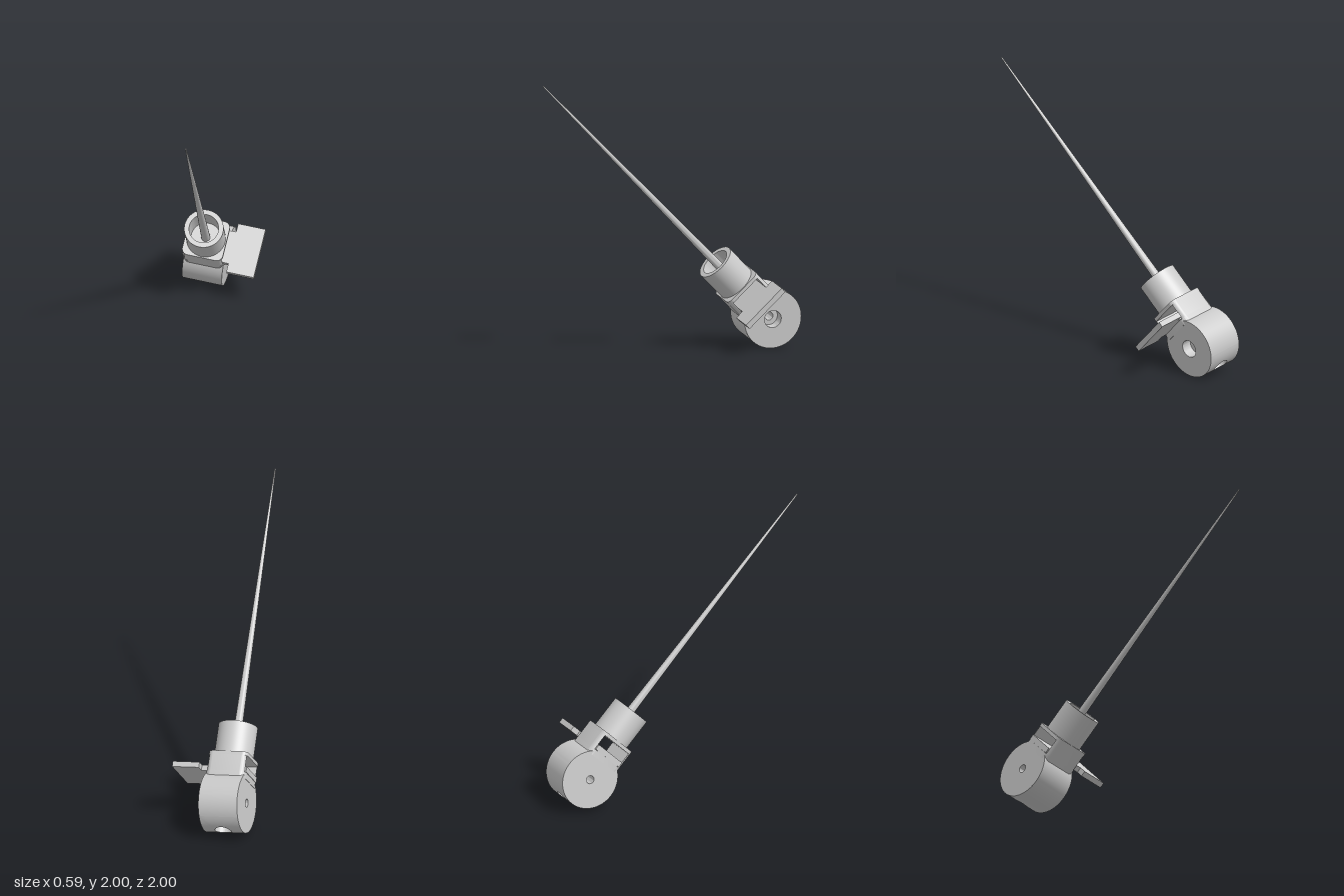
import * as THREE from 'three';
import { toCreasedNormals } from 'three/addons/utils/BufferGeometryUtils.js';

const material = new THREE.MeshStandardMaterial({ color: 0xcccccc, side: THREE.DoubleSide });
const R = 0.214;   // drum radius
const H = 0.145;   // half width of drum and block

function add(parent, name, geometry) {
  const mesh = new THREE.Mesh(toCreasedNormals(geometry, 0.6), material);
  mesh.name = name;
  parent.add(mesh);
  return mesh;
}

function lathe(points, segments = 64) {
  return new THREE.LatheGeometry(points.map(([r, y]) => new THREE.Vector2(r, y)), segments);
}

// Extrude a plan shape (x, z) along y from y0 to y1
function slab(shape, y0, y1) {
  const g = new THREE.ExtrudeGeometry(shape, { depth: y1 - y0, bevelEnabled: false, curveSegments: 8 });
  return g.rotateX(-Math.PI / 2).translate(0, y0, 0);
}

function roundedSquare(h, r) {
  const s = new THREE.Shape();
  s.absarc(h - r, h - r, r, 0, Math.PI / 2);
  s.absarc(r - h, h - r, r, Math.PI / 2, Math.PI);
  s.absarc(r - h, r - h, r, Math.PI, Math.PI * 1.5);
  s.absarc(h - r, r - h, r, Math.PI * 1.5, Math.PI * 2);
  return s;
}

// Curved rim patch with a round blind hole, facing -y
function rimPatch(holeR, floorY) {
  const n = 64, pos = [], index = [];
  const onRim = (x, z) => [x, -Math.sqrt(R * R - z * z), z];
  const rings = 8;
  for (let row = 0; row < rings + 3; row++) {
    for (let j = 0; j < n; j++) {
      const t = (j / n) * Math.PI * 2, c = Math.cos(t), s = Math.sin(t);
      if (row < 2) {
        pos.push(c * holeR * row, floorY, s * holeR * row);
      } else {
        const edge = H / Math.max(Math.abs(c), Math.abs(s));
        const r = THREE.MathUtils.lerp(holeR, edge, (row - 2) / rings);
        pos.push(...onRim(c * r, s * r));
      }
      if (row > 0) {
        const k = (j + 1) % n, p = (row - 1) * n, q = row * n;
        index.push(p + j, q + j, p + k, p + k, q + j, q + k);
      }
    }
  }
  const g = new THREE.BufferGeometry();
  g.setAttribute('position', new THREE.Float32BufferAttribute(pos, 3));
  g.setIndex(index);
  g.computeVertexNormals();
  return g;
}

export function createModel() {
  const model = new THREE.Group();
  model.name = 'gateValveWithNeedle';
  // Local frame: x along the drum axle, y along the needle
  const body = new THREE.Group();
  body.name = 'tiltedBody';
  model.add(body);
  const y = new THREE.Vector3(0.048, 0.704, 0.708).normalize();
  const x = new THREE.Vector3(0.991, -0.12, 0.052);
  x.addScaledVector(y, -x.dot(y)).normalize();
  const z = new THREE.Vector3().crossVectors(x, y);
  body.quaternion.setFromRotationMatrix(new THREE.Matrix4().makeBasis(x, y, z));
  body.position.set(-0.124, 0.2325, -0.783);

  // Drum: faces with stepped axle bore, rim, and the drilled rim patch
  const drum = new THREE.Group();
  drum.name = 'drum';
  body.add(drum);
  add(drum, 'drumFacesAndBore', lathe([
    [R, H], [0.063, H], [0.063, H - 0.08], [0.03, H - 0.08], [0.03, -H], [R, -H],
  ], 96).rotateZ(-Math.PI / 2));
  const phi = Math.asin(H / R);
  add(drum, 'drumRim', new THREE.CylinderGeometry(R, R, 2 * H, 72, 1, true,
    Math.PI / 2 + phi, 2 * (Math.PI - phi)).rotateZ(-Math.PI / 2));
  add(drum, 'drilledRim', rimPatch(0.06, -0.075));

  // Slotted block: base, two side walls, top
  const block = new THREE.Group();
  block.name = 'slottedBlock';
  body.add(block);
  const plan = roundedSquare(0.148, 0.045);
  add(block, 'blockBase', slab(plan, 0.148, 0.192));
  add(block, 'blockTop', slab(plan, 0.312, 0.338));
  for (const side of [1, -1]) {
    const wall = new THREE.Shape();
    wall.moveTo(-0.14, 0.122);
    wall.lineTo(0.14, 0.122);
    wall.quadraticCurveTo(0.13, 0.148, 0.1, 0.148);
    wall.lineTo(-0.1, 0.148);
    wall.quadraticCurveTo(-0.13, 0.148, -0.14, 0.122);
    const mesh = add(block, 'blockWall', slab(wall, 0.192, 0.312));
    if (side < 0) mesh.rotation.y = Math.PI;
  }

  // Sliding gate: wide handle with a narrower tongue through the slot
  const gate = new THREE.Shape();
  [[-0.15, -0.12], [0.185, -0.12], [0.185, -0.183], [0.385, -0.183],
    [0.385, 0.183], [0.185, 0.183], [0.185, 0.12], [-0.15, 0.12]]
    .forEach(([u, v], i) => (i ? gate.lineTo(u, v) : gate.moveTo(u, v)));
  add(body, 'slidingGate', slab(gate, 0.194, 0.234));

  // Open socket tube
  add(body, 'socketTube', lathe([
    [0.14, 0.336], [0.14, 0.571], [0.105, 0.571], [0.105, 0.36], [0, 0.36],
  ]));

  // Long tapering needle
  const tip = 2.505, base = 0.355;
  add(body, 'needle', new THREE.CylinderGeometry(0.005, 0.032, tip - base, 24)
    .translate(0, (tip + base) / 2, 0));

  return model;
}
